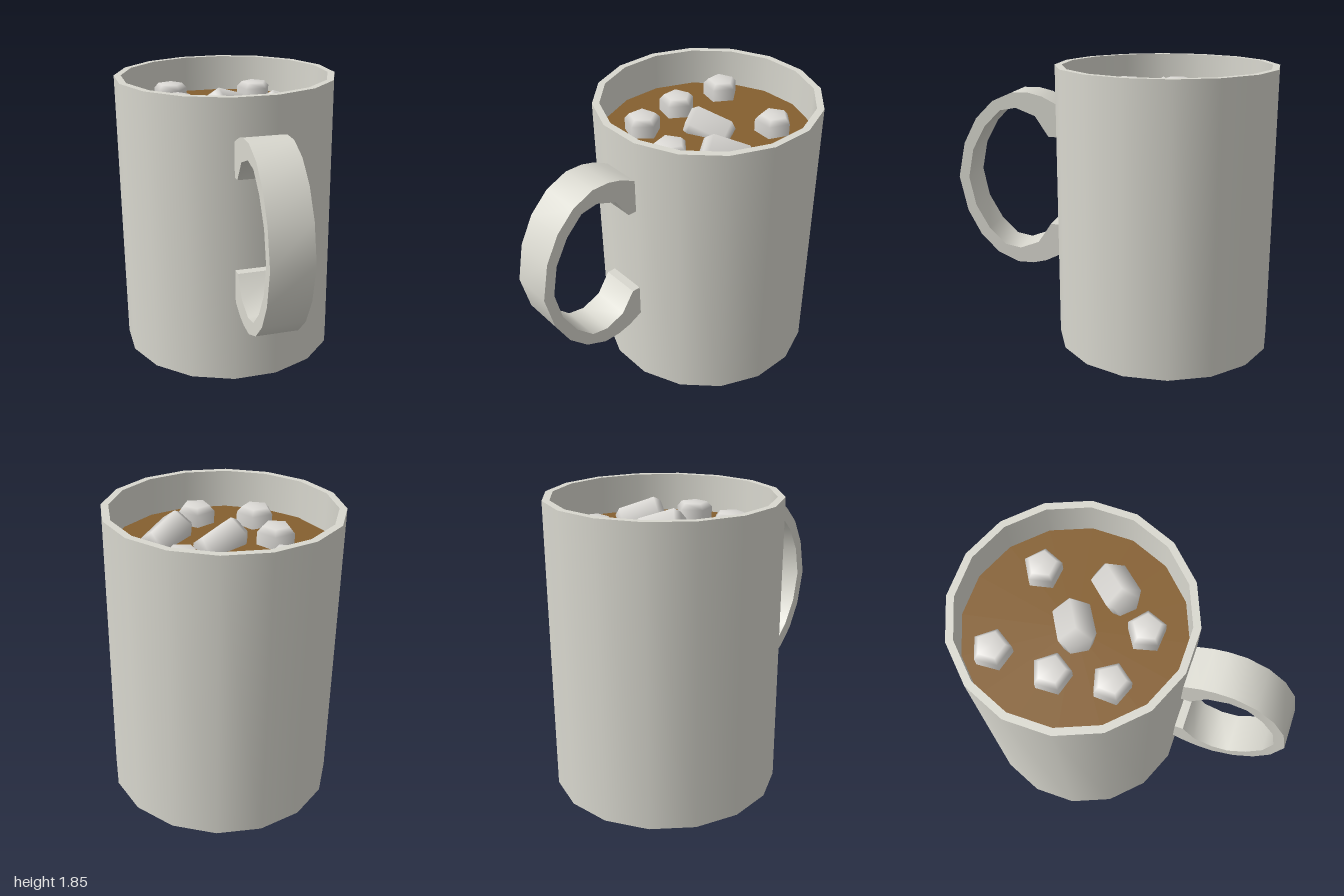
import * as THREE from 'three';
import { toCreasedNormals } from 'three/addons/utils/BufferGeometryUtils.js';

const deg = THREE.MathUtils.degToRad;
const material = (name, color) => Object.assign(new THREE.MeshStandardMaterial({ color }), { name });

// Faceted solid of revolution; repeated points make crisp edges.
// "angle" places one corner, measured from +x towards +z.
function turned(points, sides, angle) {
  const profile = points.map(([r, y]) => new THREE.Vector2(r, y));
  return new THREE.LatheGeometry(profile, sides, deg(90 - angle), Math.PI * 2);
}

export function createModel() {
  const ceramic = material('ceramic', 0xd9d8cf);
  const cocoa = material('cocoa', 0x855f2f);
  const sugar = material('marshmallowWhite', 0xdcdad6);

  const model = new THREE.Group();
  model.name = 'mugOfCocoa';
  const add = (name, geometry, mat, parent = model) => {
    const mesh = new THREE.Mesh(geometry, mat);
    mesh.name = name;
    parent.add(mesh);
    return mesh;
  };

  // Mug body, centred away from the origin to leave room for the handle
  const mug = new THREE.Group();
  mug.name = 'mug';
  mug.position.set(-0.28, 0, -0.053);
  model.add(mug);
  const R = 0.718, r = 0.673, H = 1.85, level = 1.61, turn = -3.3;
  add('cup', turned([
    [0, 0], [R, 0], [R, 0], [R, H], [R, H], [r, H], [r, H],
    [r, 0.06], [r, 0.06], [0, 0.06],
  ], 16, turn), ceramic, mug);

  // Liquid surface
  add('liquid', turned([[r, level], [0, level]], 16, turn), cocoa, mug);

  // Handle: side outline, mirrored top to bottom, extruded to a flat strap
  const mid = 1.075;
  const outer = [[0.7, 1.59], [0.8, 1.64], [0.89, 1.662], [1.0, 1.662],
    [1.14, 1.6], [1.26, 1.48], [1.35, 1.31], [1.4, mid]];
  const inner = [[0.7, 1.375], [0.76, 1.375], [0.85, 1.51], [0.98, 1.56],
    [1.09, 1.54], [1.2, 1.43], [1.29, 1.27], [1.33, mid]];
  const mirrored = (pts) => pts.slice(0, -1).reverse().map(([x, y]) => [x, 2 * mid - y]);
  const outline = [...outer, ...mirrored(outer),
    ...[...inner, ...mirrored(inner)].reverse()];
  const strap = new THREE.ExtrudeGeometry(
    new THREE.Shape(outline.map(([x, y]) => new THREE.Vector2(x, y))),
    { depth: 0.26, bevelEnabled: false });
  strap.translate(0, 0, -0.13);
  add('handle', toCreasedNormals(strap, 0.75), ceramic, mug).rotation.y = deg(-30.3);

  // Marshmallows: five-sided, with chamfered ends
  const shape = [[0, -0.15], [0.085, -0.15], [0.118, -0.115],
    [0.118, 0.115], [0.085, 0.15], [0, 0.15]];
  const standing = [
    [-0.40, -0.45, 0], [-0.77, 0, 9], [-0.46, 0.21, 10],
    [0.12, 0.065, -2], [-0.14, 0.335, 15],
  ];
  for (const [x, z, angle] of standing) {
    add('standingMarshmallow', turned(shape, 5, angle), sugar).position.set(x, 1.575, z);
  }
  // Two have tipped over: [x, z, heading]
  for (const [x, z, heading] of [[-0.28, -0.065, 0], [0.005, -0.25, 14]]) {
    const fallen = add('fallenMarshmallow', turned(shape, 5, -90), sugar);
    fallen.position.set(x, 1.62, z);
    fallen.rotation.set(deg(72), deg(heading), 0, 'YXZ');
  }
  return model;
}
